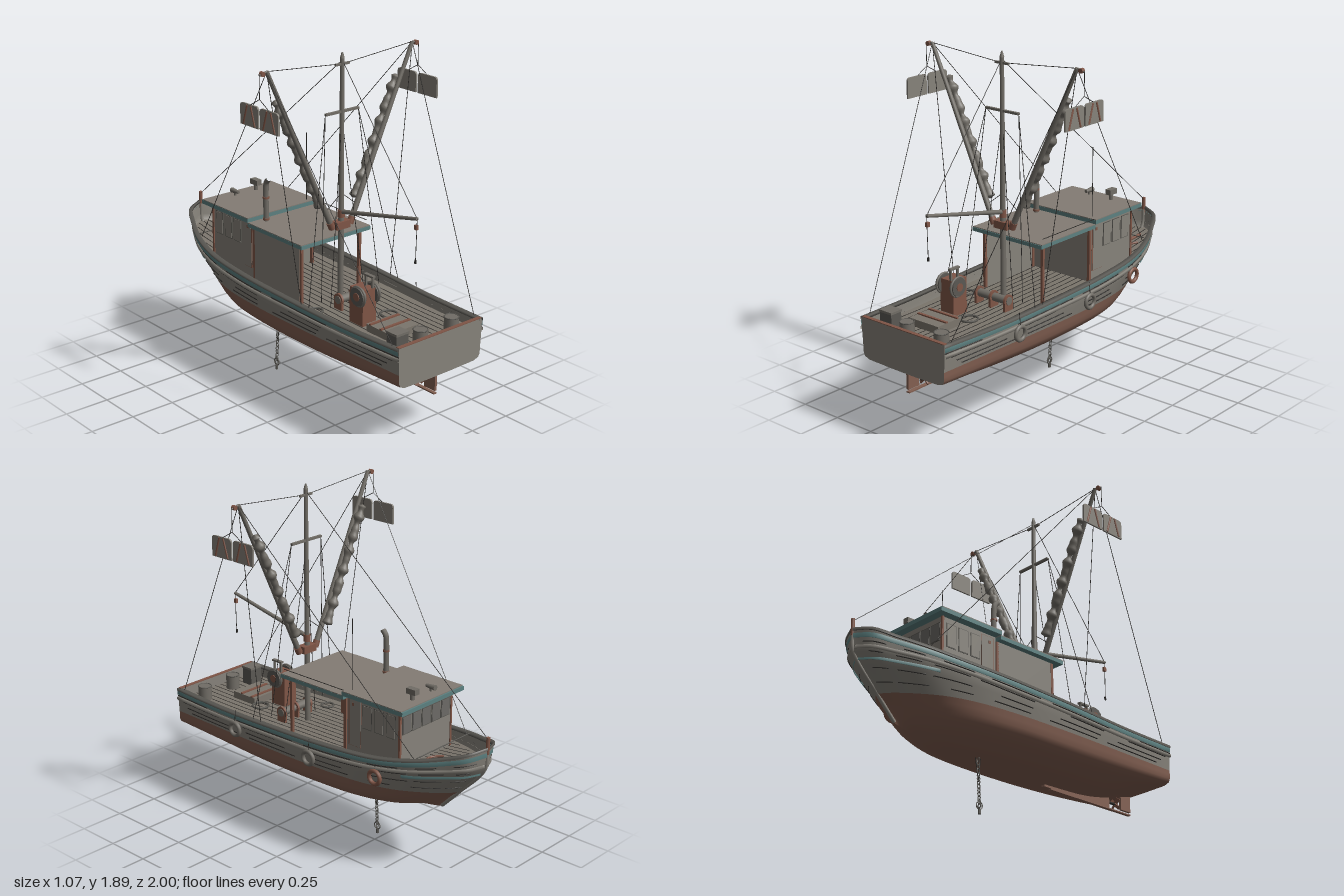
import * as THREE from 'three';

const V = (x, y, z) => new THREE.Vector3(x, y, z);
const paint = (name, color, side = THREE.FrontSide) => {
  const m = new THREE.MeshStandardMaterial({ color, side });
  m.name = name;
  return m;
};

export function createModel() {
  const boat = new THREE.Group();
  boat.name = 'fishingBoat';
  const D = THREE.DoubleSide;
  const grey = paint('weatheredGrey', 0x86827a, D), brown = paint('bottomBrown', 0x825f51, D);
  const teal = paint('trimTeal', 0x5c8080, D), deckMat = paint('deckGrey', 0x7b756c, D);
  const roofMat = paint('roofGrey', 0x837c74), dark = paint('ropeBlack', 0x2a2826, D);
  const rust = paint('rust', 0x7f5546), pole = paint('spar', 0x716d66), glass = paint('glass', 0x6c6a66);
  const railMat = paint('railGrey', 0x5a5853, D);

  const add = (name, geo, mat, x = 0, y = 0, z = 0) => {
    const m = new THREE.Mesh(geo, mat);
    m.name = name;
    m.position.set(x, y, z);
    boat.add(m);
    return m;
  };
  const box = (name, mat, w, h, d, x, y, z) => add(name, new THREE.BoxGeometry(w, h, d), mat, x, y, z);
  const cyl = (name, mat, r, h, x, y, z, r2 = r) => add(name, new THREE.CylinderGeometry(r2, r, h, 16), mat, x, y, z);
  const along = (mesh, a, b) => {
    mesh.position.copy(a).lerp(b, 0.5);
    mesh.quaternion.setFromUnitVectors(V(0, 1, 0), b.clone().sub(a).normalize());
    return mesh;
  };
  const beam = (name, mat, a, b, r, r2 = r) =>
    along(add(name, new THREE.CylinderGeometry(r2, r, a.distanceTo(b), r < 0.005 ? 5 : 12), mat), a, b);
  const rope = (a, b) => beam('rope', dark, a, b, 0.0018);
  const pipe = (name, mat, pts, r) =>
    add(name, new THREE.TubeGeometry(new THREE.CatmullRomCurve3(pts), 32, r, 8), mat);
  const loft = (rows) => {
    const n = rows[0].length, idx = [];
    for (let i = 0; i < rows.length - 1; i++) for (let j = 0; j < n - 1; j++) {
      const a = i * n + j, b = a + n;
      idx.push(a, b, a + 1, b, b + 1, a + 1);
    }
    const g = new THREE.BufferGeometry().setFromPoints(rows.flat());
    g.setIndex(idx);
    g.computeVertexNormals();
    return g;
  };
  const flip = (p) => V(-p.x, p.y, p.z);
  const bothSides = (name, rows, mat) => {
    add(name + 'Left', loft(rows), mat);
    add(name + 'Right', loft(rows.map((r) => r.map(flip))), mat);
  };

  // Hull lines, stern to stem: end position, heights and half-breadths
  const S = [0, 0.2, 0.4, 0.6, 0.75, 0.85, 0.925, 0.975, 1];
  const line = (end, ys, bs) =>
    new THREE.CatmullRomCurve3(S.map((s, i) => V(bs[i], ys[i], 1 + (end - 1) * s)));
  const keel = line(-0.72, [0.4, 0.315, 0.297, 0.292, 0.29, 0.305, 0.335, 0.352, 0.365], S.map(() => 0));
  const bilge = line(-0.74, [0.402, 0.345, 0.325, 0.32, 0.32, 0.335, 0.365, 0.385, 0.4],
    [0.15, 0.15, 0.15, 0.145, 0.125, 0.095, 0.055, 0.02, 0]);
  const chine = line(-0.78, [0.415, 0.4, 0.39, 0.39, 0.39, 0.4, 0.42, 0.435, 0.445],
    [0.27, 0.27, 0.272, 0.265, 0.235, 0.18, 0.105, 0.045, 0]);
  const water = line(-0.83, S.map(() => 0.48), [0.28, 0.288, 0.295, 0.29, 0.265, 0.215, 0.135, 0.06, 0]);
  const mid = line(-0.985, [0.55, 0.55, 0.56, 0.57, 0.59, 0.61, 0.63, 0.645, 0.655],
    [0.284, 0.3, 0.31, 0.308, 0.28, 0.225, 0.15, 0.085, 0]);
  const sheer = line(-0.995, [0.615, 0.612, 0.625, 0.64, 0.658, 0.688, 0.722, 0.752, 0.77],
    [0.285, 0.303, 0.315, 0.312, 0.285, 0.235, 0.165, 0.105, 0]);
  const range = (n, f) => Array.from({ length: n + 1 }, (_, i) => f(i / n));
  const side = (u, v) => v < 0.5 ? water.getPoint(u).lerp(mid.getPoint(u), v * 2)
    : mid.getPoint(u).lerp(sheer.getPoint(u), v * 2 - 1);
  const bottom = (u) => new THREE.CatmullRomCurve3([keel, bilge, chine, water].map((l) => l.getPoint(u))).getPoints(9);
  bothSides('hullBottom', range(64, bottom), brown);
  bothSides('hullTopside', range(64, (u) => range(6, (v) => side(u, v))), grey);
  const sternRim = [...bottom(0), ...range(4, (v) => side(0, v))];
  add('transom', loft([sternRim, sternRim.map(flip)]), grey);
  add('deck', loft(range(64, (u) => [mid.getPoint(u), flip(mid.getPoint(u))])), deckMat);

  // Rails and strakes follow the hull
  const strake = (name, mat, u0, u1, v, h, out) => bothSides(name, range(Math.ceil((u1 - u0) * 50) + 1, (t) => {
    const p = side(u0 + (u1 - u0) * t, v);
    return [[0, -h], [out, -h], [out, h], [0, h]].map(([dx, dy]) => V(p.x + dx, p.y + dy, p.z));
  }), mat);
  bothSides('capRail', range(64, (u) => {
    const p = sheer.getPoint(u);
    return [[0.008, -0.006], [0.008, 0.008], [-0.018, 0.008], [-0.018, -0.006], [0.008, -0.006]]
      .map(([dx, dy]) => V(Math.max(0, p.x + dx), p.y + dy, p.z));
  }), railMat);
  box('sternRail', grey, 0.565, 0.016, 0.02, 0, 0.615, 0.988);
  box('sternRailEdge', rust, 0.565, 0.004, 0.021, 0, 0.624, 0.988);
  strake('rubRail', grey, 0, 0.99, 0.6, 0.008, 0.01);
  strake('tealSheerStripe', teal, 0, 0.995, 0.86, 0.012, 0.005);
  strake('tealBowStripe', teal, 0.6, 0.99, 0.42, 0.009, 0.004);
  [0.72, 0.5, 0.3, 0.13].forEach((v, k) => {
    for (let i = 0; i < 6; i++) {
      const u = i * 0.16 + k * 0.013;
      strake('plankSeam', dark, u, Math.min(0.98, u + 0.08 + ((i * 3 + k * 5) % 4) * 0.018), v, 0.002, 0.004);
    }
  });
  pipe('stem', grey, [V(0, 0.365, -0.71), V(0, 0.48, -0.82), V(0, 0.655, -0.975), V(0, 0.76, -0.986)], 0.01);
  beam('stemPost', rust, V(0, 0.74, -0.986), V(0, 0.83, -0.988), 0.01);

  // Deck plank seams
  for (let i = -7; i <= 7; i++) {
    const x = i * 0.037;
    const pts = range(60, (u) => mid.getPoint(u * 0.99)).filter((p) => p.x > Math.abs(x) + 0.012);
    add('deckSeam', loft(pts.map((p) => [V(x - 0.003, p.y + 0.002, p.z), V(x + 0.003, p.y + 0.002, p.z)])), dark);
  }

  // Skeg, rudder and propeller
  const skeg = new THREE.Shape([[0.3, 0.287], [0.8, 0.287], [0.8, 0.36], [0.3, 0.31]].map((p) => new THREE.Vector2(-p[0], p[1])));
  const skegGeo = new THREE.ExtrudeGeometry(skeg, { depth: 0.02, bevelEnabled: false }).rotateY(Math.PI / 2);
  add('skeg', skegGeo, brown, -0.01, 0, 0);
  box('shoe', brown, 0.02, 0.007, 0.62, 0, 0.284, 0.66);
  box('rudder', brown, 0.014, 0.11, 0.075, 0, 0.355, 0.935);
  beam('propellerShaft', dark, V(0, 0.322, 0.78), V(0, 0.322, 0.875), 0.007);
  for (let i = 0; i < 4; i++) {
    const a = Math.PI / 4 + i * Math.PI / 2;
    const b = box('propellerBlade', rust, 0.022, 0.035, 0.006, -Math.sin(a) * 0.02, 0.322 + Math.cos(a) * 0.02, 0.855);
    b.rotation.set(0, 0.5, a, 'ZXY');
  }

  // Hanging anchor chain
  for (let i = 0; i < 13; i++) {
    const l = add('chainLink', new THREE.TorusGeometry(0.009, 0.0028, 5, 10), railMat, -0.053 - i * 0.001, 0.29 - i * 0.0205, -0.21);
    l.scale.y = 1.35;
    l.rotation.y = i % 2 ? Math.PI / 2 : 0;
  }
  for (const s of [-1, 1]) rope(V(-0.052, 0.3, -0.21 + s * 0.018), V(-0.058, 0.17, -0.21));
  add('chainRing', new THREE.TorusGeometry(0.02, 0.003, 6, 20), railMat, -0.065, 0.045, -0.21).rotation.y = Math.PI / 2;
  cyl('chainEnd', railMat, 0.008, 0.025, -0.066, 0.0125, -0.21);

  // Wheelhouse
  box('wheelhouse', grey, 0.4, 0.36, 0.36, 0, 0.735, -0.41);
  box('wheelhouseTrim', teal, 0.485, 0.022, 0.41, -0.003, 0.92, -0.43);
  box('wheelhouseRoof', roofMat, 0.484, 0.005, 0.4, -0.003, 0.933, -0.426);
  for (let i = -2; i <= 2; i++) {
    box('frontWindowFrame', railMat, 0.07, 0.1, 0.004, i * 0.076, 0.83, -0.591);
    box('frontWindow', glass, 0.06, 0.09, 0.008, i * 0.076, 0.83, -0.591);
  }
  for (const s of [-1, 1]) {
    box('doorFrame', rust, 0.004, 0.265, 0.085, s * 0.201, 0.765, -0.285);
    box('door', grey, 0.008, 0.26, 0.078, s * 0.201, 0.765, -0.288);
    box('doorLamp', rust, 0.012, 0.016, 0.014, s * 0.201, 0.865, -0.275);
    for (const z of [-0.37, -0.45, -0.53]) {
      box('sideWindowFrame', railMat, 0.004, 0.13, 0.064, s * 0.201, 0.815, z);
      box('sideWindow', grey, 0.008, 0.122, 0.056, s * 0.201, 0.815, z);
    }
    box('cornerPost', rust, 0.012, 0.36, 0.012, s * 0.2, 0.735, -0.588);
  }

  // Open work shelter behind the wheelhouse
  box('shelterTrim', teal, 0.475, 0.02, 0.45, -0.004, 0.895, -0.005);
  box('shelterRoof', roofMat, 0.474, 0.005, 0.446, -0.004, 0.907, -0.007);
  box('shelterWall', grey, 0.012, 0.335, 0.38, -0.202, 0.72, -0.03);
  for (const [x, z] of [[-0.2, 0.17], [0.2, 0.17], [-0.2, -0.22], [0.2, -0.22]])
    box('shelterPost', rust, 0.016, 0.34, 0.016, x, 0.72, z);
  beam('roofRail', dark, V(0.225, 0.935, 0.2), V(0.225, 0.935, -0.23), 0.002);
  pipe('exhaust', pole, [V(-0.145, 0.9, -0.19), V(-0.145, 1.08, -0.19), V(-0.145, 1.125, -0.185), V(-0.145, 1.15, -0.165)], 0.015);
  for (const y of [0.92, 1.04]) cyl('exhaustBand', rust, 0.018, 0.01, -0.145, y, -0.19);
  beam('antenna', dark, V(0.19, 0.93, -0.255), V(0.19, 1.32, -0.255), 0.0018);
  cyl('radarStand', pole, 0.012, 0.04, 0.08, 0.95, -0.565);
  box('radar', pole, 0.035, 0.03, 0.06, 0.08, 0.982, -0.565);
  beam('searchlight', pole, V(-0.07, 0.96, -0.53), V(-0.07, 0.96, -0.59), 0.009, 0.015);
  cyl('searchlightStand', pole, 0.006, 0.025, -0.07, 0.945, -0.56);

  // Mast, cargo boom and outriggers
  const Z = 0.25;
  beam('mast', pole, V(0, 0.55, Z), V(0, 1.86, Z), 0.017, 0.011);
  cyl('mastCap', pole, 0.012, 0.03, 0, 1.875, Z, 0.004);
  box('mastHeadBar', pole, 0.09, 0.012, 0.012, 0, 1.83, Z);
  box('crosstree', pole, 0.22, 0.012, 0.016, 0, 1.585, Z);
  box('boomSeat', rust, 0.09, 0.04, 0.05, 0, 0.98, Z);
  cyl('mastBand', rust, 0.019, 0.04, 0, 1.04, Z);
  const boomEnd = V(0, 1.165, 0.81);
  beam('cargoBoom', pole, V(0, 1.05, 0.26), boomEnd, 0.012, 0.009);
  rope(boomEnd, V(0, 0.93, 0.805));
  box('hookBlock', rust, 0.014, 0.024, 0.018, 0, 1.12, 0.805);
  box('hook', dark, 0.008, 0.02, 0.008, 0, 0.94, 0.805);
  rope(V(0, 1.85, Z), boomEnd);
  rope(V(0, 1.85, Z), V(0, 0.82, -0.985));

  const doorShape = new THREE.Shape();
  doorShape.moveTo(-0.07, -0.055).lineTo(0.07, -0.055).lineTo(0.07, 0.035).quadraticCurveTo(0.07, 0.055, 0.05, 0.055);
  doorShape.lineTo(-0.05, 0.055).quadraticCurveTo(-0.07, 0.055, -0.07, 0.035);
  const doorGeo = new THREE.ExtrudeGeometry(doorShape, { depth: 0.01, bevelEnabled: false }).translate(0, 0, -0.005).rotateY(Math.PI / 2);
  const netProfile = range(70, (t) => new THREE.Vector2(
    t === 0 || t === 1 ? 0.001 : 0.021 + 0.006 * Math.sin(t * 44) + 0.004 * Math.sin(t * 71 + 1), (t - 0.5) * 0.68));
  for (const s of [-1, 1]) {
    const foot = V(s * 0.06, 0.97, Z), tip = V(s * 0.48, 1.87, Z);
    beam('outrigger', pole, foot, tip, 0.016, 0.011);
    beam('outriggerFoot', rust, foot, foot.clone().lerp(tip, 0.04), 0.019);
    const back = V(0, 0, -0.035);
    along(add('furledNet', new THREE.LatheGeometry(netProfile, 10), pole),
      foot.clone().lerp(tip, 0.13).add(back), foot.clone().lerp(tip, 0.82).add(back));
    beam('tipPulley', rust, V(s * 0.507, 1.862, Z - 0.01), V(s * 0.507, 1.862, Z + 0.01), 0.013);
    beam('tipArm', pole, tip, V(s * 0.525, 1.858, Z), 0.005);
    rope(V(s * 0.525, 1.86, Z), V(s * 0.525, 1.74, Z));
    // Otter boards with brown bracing on one face
    for (const z of [Z - 0.077, Z + 0.077]) {
      add('otterBoard', doorGeo, grey, s * 0.525, 1.645, z);
      rope(V(s * 0.525, 1.74, Z), V(s * 0.525, 1.695, z));
      for (const k of [-1, 1])
        beam('boardBrace', rust, V(s * 0.529, 1.595, z + k * 0.045), V(s * 0.529, 1.695, z + k * 0.014), 0.006);
    }
    rope(V(0, 1.83, Z), tip);
    rope(tip, V(s * 0.28, 0.62, 0.95));
    rope(tip, V(s * 0.21, 0.69, -0.69));
    rope(tip, V(s * 0.31, 0.63, 0.3));
    rope(V(s * 0.11, 1.585, Z), V(s * 0.2, 0.62, 0.33));
    rope(V(s * 0.11, 1.585, Z), V(s * 0.31, 0.63, 0.36));
    rope(V(0, 1.55, Z), V(s * 0.12, 0.56, 0.31));
    rope(V(0, 1.15, Z), V(s * 0.09, 1.08, Z));
  }

  // Deck gear
  box('winchHouse', rust, 0.09, 0.2, 0.1, -0.095, 0.645, 0.53);
  for (const x of [-0.145, -0.045]) {
    beam('winchDrum', railMat, V(x - 0.012, 0.71, 0.55), V(x + 0.012, 0.71, 0.55), 0.05);
    beam('drumHub', rust, V(x - 0.016, 0.71, 0.55), V(x + 0.016, 0.71, 0.55), 0.022);
    add('drumRim', new THREE.TorusGeometry(0.052, 0.006, 6, 20), pole, x, 0.71, 0.55).rotation.y = Math.PI / 2;
  }
  for (const z of [0.525, 0.575]) box('winchPost', pole, 0.012, 0.06, 0.01, -0.07, 0.775, z);
  box('winchTop', pole, 0.02, 0.01, 0.07, -0.07, 0.805, 0.55);
  beam('netRoller', pole, V(-0.1, 0.61, 0.34), V(0.12, 0.61, 0.34), 0.022);
  for (const x of [-0.09, 0.01, 0.11]) {
    beam('rollerFlange', rust, V(x - 0.006, 0.61, 0.34), V(x + 0.006, 0.61, 0.34), 0.034);
    box('rollerStand', rust, 0.014, 0.06, 0.06, x, 0.58, 0.34);
  }
  box('hatch', deckMat, 0.2, 0.04, 0.17, -0.055, 0.57, 0.71);
  for (const z of [0.65, 0.73]) box('hatchSlat', rust, 0.2, 0.008, 0.014, -0.055, 0.593, z);
  for (const [x, z] of [[-0.055, 0.91], [0.17, 0.9]]) {
    cyl('barrel', pole, 0.038, 0.08, x, 0.59, z);
    add('barrelRim', new THREE.TorusGeometry(0.037, 0.003, 6, 20), railMat, x, 0.63, z).rotation.x = Math.PI / 2;
  }
  box('crate', railMat, 0.08, 0.1, 0.07, -0.19, 0.595, 0.89);
  box('crateLid', pole, 0.085, 0.012, 0.075, -0.19, 0.648, 0.89);
  for (const [x, z, r] of [[0.05, 0.57, 0.045], [-0.21, 0.3, 0.035]])
    add('hoseCoil', new THREE.TorusGeometry(r, 0.006, 6, 24), railMat, x, 0.567, z).rotation.x = Math.PI / 2;

  // Foredeck gear
  beam('foreRail', railMat, V(-0.21, 0.7, -0.71), V(0.21, 0.7, -0.71), 0.003);
  beam('anchorShank', rust, V(0.085, 0.66, -0.84), V(0.085, 0.65, -0.69), 0.008);
  pipe('anchorArms', rust, [V(0.02, 0.655, -0.73), V(0.05, 0.65, -0.69), V(0.085, 0.65, -0.68), V(0.12, 0.65, -0.69), V(0.15, 0.655, -0.73)], 0.006);

  // Tyre fenders
  for (const [z, y, x, m] of [[0.49, 0.535, 0.325, pole], [-0.07, 0.54, 0.328, pole], [-0.5, 0.555, 0.29, rust]]) {
    add('fender', new THREE.TorusGeometry(0.036, 0.011, 10, 24), m, x, y, z).rotation.y = Math.PI / 2;
    rope(V(x, y + 0.036, z), V(x - 0.008, 0.645, z));
  }
  return boat;
}
